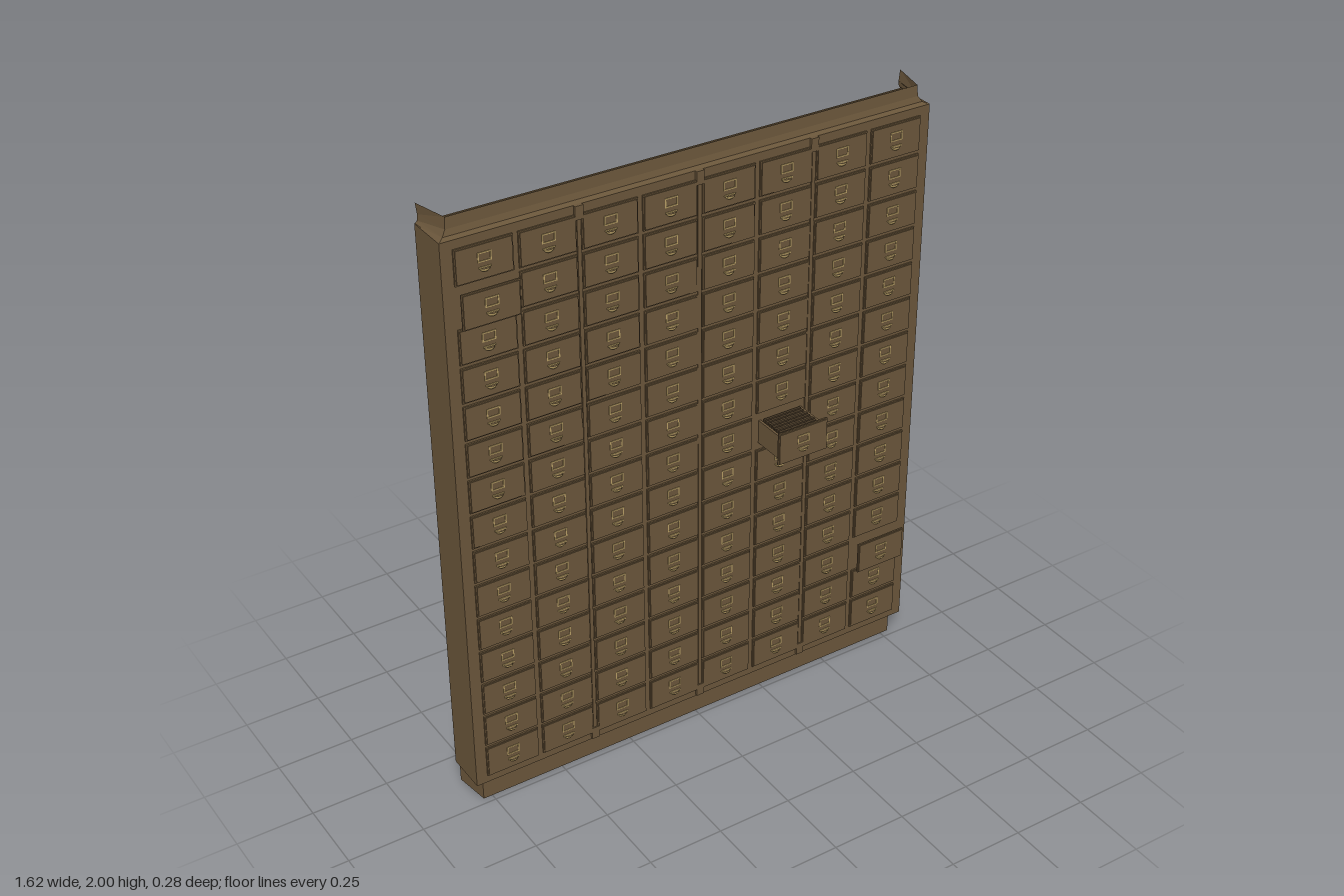
import * as THREE from 'three';

const mat = (name, color) => {
  const m = new THREE.MeshStandardMaterial({ color, side: THREE.DoubleSide });
  m.name = name;
  return m;
};

export function createModel() {
  const wood = mat('wood', 0x69553a);
  const brass = mat('brass', 0xb89f66);
  const paper = mat('card paper', 0x4a3b28);

  const root = new THREE.Group();
  root.name = 'cardCabinet';

  const add = (parent, name, geo, material, x = 0, y = 0, z = 0) => {
    const m = new THREE.Mesh(geo, material);
    m.name = name;
    m.position.set(x, y, z);
    parent.add(m);
    return m;
  };
  const box = (parent, name, w, h, d, x, y, z, material = wood) =>
    add(parent, name, new THREE.BoxGeometry(w, h, d), material, x, y, z);

  // Hollow carcass, open at top and bottom
  const bottom = 0.08, top = 1.94, midY = (bottom + top) / 2, height = top - bottom;
  box(root, 'facePanel', 1.62, height, 0.015, 0, midY, -0.0085);
  box(root, 'backPanel', 1.62, height, 0.006, 0, midY, -0.137);
  for (const s of [-1, 1]) box(root, 'sidePanel', 0.008, height, 0.13, s * 0.806, midY, -0.072);

  // Three-sided moulding: each level is [y, half width at front, half width at back, front z]
  const moulding = (name, levels) => {
    const ring = ([y, xf, xb, zf]) => [[-xb, y, -0.14], [-xf, y, zf], [xf, y, zf], [xb, y, -0.14]];
    const pos = [];
    for (let i = 0; i < levels.length - 1; i++) {
      const a = ring(levels[i]), b = ring(levels[i + 1]);
      for (let j = 0; j < 3; j++)
        pos.push(...a[j], ...a[j + 1], ...b[j + 1], ...a[j], ...b[j + 1], ...b[j]);
    }
    const g = new THREE.BufferGeometry();
    g.setAttribute('position', new THREE.Float32BufferAttribute(pos, 3));
    g.computeVertexNormals();
    add(root, name, g, wood);
  };
  moulding('crown', [[1.938, 0.81, 0.81, -0.002], [1.947, 0.792, 0.802, -0.015],
    [1.965, 0.78, 0.8, -0.021], [2, 0.777, 0.804, -0.023]]);
  moulding('plinth', [[0, 0.78, 0.797, -0.022], [0.06, 0.78, 0.797, -0.022], [0.082, 0.81, 0.81, -0.002]]);

  // Posts between pairs of columns
  for (const x of [-0.391, 0, 0.391]) {
    box(root, 'post', 0.012, height - 0.05, 0.006, x, midY, 0.001);
    for (const y of [0.107, 1.919]) box(root, 'postBlock', 0.026, 0.042, 0.01, x, y, 0.003);
  }

  // Shared drawer geometries
  const edgeGeo = new THREE.BoxGeometry(0.179, 0.11, 0.005);
  const frontGeo = new THREE.BoxGeometry(0.171, 0.102, 0.008);
  const rect = (path, w, h) => path.moveTo(-w / 2, -h / 2).lineTo(w / 2, -h / 2)
    .lineTo(w / 2, h / 2).lineTo(-w / 2, h / 2).closePath();
  const frame = rect(new THREE.Shape(), 0.042, 0.029);
  frame.holes.push(rect(new THREE.Path(), 0.035, 0.022));
  const frameGeo = new THREE.ExtrudeGeometry(frame, { depth: 0.002, bevelEnabled: false });
  // Cup pull: lower quarter of a flattened ball under a flat rim
  const pullGeo = new THREE.SphereGeometry(1, 8, 4, 0, Math.PI, Math.PI / 2, Math.PI / 2);
  pullGeo.scale(0.016, 0.013, 0.01);
  const pullRimGeo = new THREE.BoxGeometry(0.038, 0.004, 0.003);

  const drawerFront = (x, y, z) => {
    const d = new THREE.Group();
    d.name = 'drawer';
    d.position.set(x, y, z);
    add(d, 'drawerEdge', edgeGeo, wood, 0, 0, 0.0025);
    add(d, 'drawerFront', frontGeo, wood, 0, 0, 0.004);
    add(d, 'labelHolder', frameGeo, brass, 0, 0.014, 0.008);
    add(d, 'pullCup', pullGeo, brass, 0, -0.018, 0.008);
    add(d, 'pullRim', pullRimGeo, brass, 0, -0.017, 0.0095);
    root.add(d);
    return d;
  };

  // Grid of drawers, two slightly pulled out and one open
  for (let r = 0; r < 15; r++) {
    for (let c = 0; c < 8; c++) {
      const x = (c - 3.5) * 0.1955, y = 1.858 - r * 0.1211;
      const open = r === 7 && c === 5;
      const ajar = (r === 1 && c === 0) || (r === 12 && c === 7);
      const d = drawerFront(x, y, open ? 0.118 : ajar ? 0.03 : 0);
      if (!open) continue;
      // Tray with index cards
      for (const s of [-1, 1]) box(d, 'traySide', 0.008, 0.08, 0.118, s * 0.074, -0.003, -0.059);
      box(d, 'trayFloor', 0.148, 0.006, 0.118, 0, -0.04, -0.059);
      for (let i = 0; i < 9; i++)
        box(d, 'indexCard', 0.134, 0.072 + (i % 3) * 0.004, 0.008, 0, 0.004, -0.012 - i * 0.0115, paper);
    }
  }
  return root;
}
